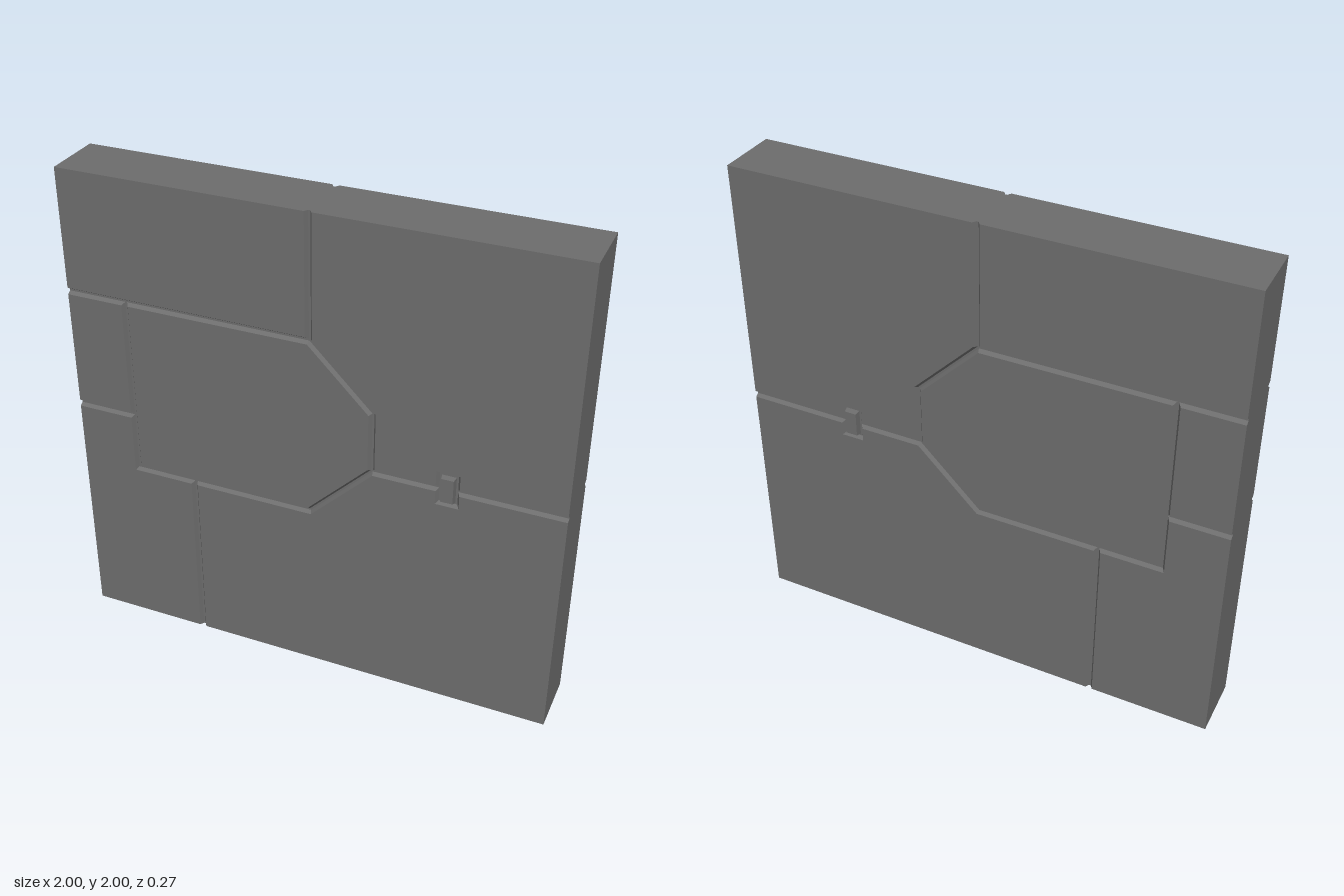
import * as THREE from 'three';

const HALF = 0.125;   // half thickness of the wall
const FLOOR = 0.11;   // depth at which the grooves end

// Moves each edge of a counter-clockwise polygon inwards; edges on the wall's rim stay put.
function inset(points, amount) {
  const n = points.length;
  const lines = points.map(([ax, ay], i) => {
    const [bx, by] = points[(i + 1) % n];
    const len = Math.hypot(bx - ax, by - ay);
    const nx = -(by - ay) / len, ny = (bx - ax) / len;
    const onRim = (ax === bx && Math.abs(ax) === 1) || (ay === by && (ay === 0 || ay === 2));
    return [nx, ny, nx * ax + ny * ay + (onRim ? 0 : amount)];
  });
  return lines.map(([c, d, q], i) => {
    const [a, b, p] = lines[(i + n - 1) % n];
    const det = a * d - b * c;
    return new THREE.Vector2((p * d - b * q) / det, (a * q - p * c) / det);
  });
}

// Raised slab with sloping edges, on the front (side = 1) or back (side = -1).
function panelGeometry(points, side, height, bevel) {
  const low = inset(points, 0.004), high = inset(points, bevel);
  const n = points.length, pos = [];
  const tri = (a, b, c) => (side > 0 ? [a, b, c] : [a, c, b])
    .forEach(([p, z]) => pos.push(p.x, p.y, z * side));
  THREE.ShapeUtils.triangulateShape(high, []).forEach(([a, b, c]) =>
    tri([high[a], height], [high[b], height], [high[c], height]));
  for (let i = 0; i < n; i++) {
    const j = (i + 1) % n;
    tri([low[i], FLOOR], [low[j], FLOOR], [high[j], height]);
    tri([low[i], FLOOR], [high[j], height], [high[i], height]);
  }
  const geo = new THREE.BufferGeometry();
  geo.setAttribute('position', new THREE.Float32BufferAttribute(pos, 3));
  geo.computeVertexNormals();
  return geo;
}

export function createModel() {
  const group = new THREE.Group();
  const material = new THREE.MeshStandardMaterial({ color: 0x6d6d6d, flatShading: true });
  const add = (name, geometry) => {
    const mesh = new THREE.Mesh(geometry, material);
    mesh.name = name;
    group.add(mesh);
  };

  // Core whose faces form the groove floors
  const core = new THREE.BoxGeometry(2, 2, FLOOR * 2);
  core.translate(0, 1, 0);
  add('core', core);

  // Panel outlines run along the groove centre lines
  const L = -0.754, B = 0.751, S = -0.5;
  const cx0 = 0.518, cx1 = 0.582, cy0 = 0.943, cy1 = 1.06;
  const panels = {
    topLeftPanel: [[-1, 1.5], [0, 1.5], [0, 2], [-1, 2]],
    sidePanel: [[-1, 1], [L, 1], [L, 1.5], [-1, 1.5]],
    centrePanel: [[L, B], [0, B], [0.25, 1], [0.25, 1.25], [0, 1.5], [L, 1.5]],
    topRightPanel: [[0, 1.5], [0.25, 1.25], [0.25, 1], [cx0, 1], [cx0, cy1], [cx1, cy1],
      [cx1, 1], [1, 1], [1, 2], [0, 2]],
    bottomRightPanel: [[S, 0], [1, 0], [1, 1], [cx1, 1], [cx1, cy0], [cx0, cy0], [cx0, 1],
      [0.25, 1], [0, B], [S, B]],
    bottomLeftPanel: [[-1, 0], [S, 0], [S, B], [L, B], [L, 1], [-1, 1]],
  };
  const clasp = [[cx0, cy0], [cx1, cy0], [cx1, cy1], [cx0, cy1]];

  for (const [prefix, side] of [['front', 1], ['back', -1]]) {
    for (const [name, outline] of Object.entries(panels)) {
      add(prefix + ' ' + name, panelGeometry(outline, side, HALF, 0.014));
    }
    // Small block standing slightly proud of the seam
    add(prefix + ' clasp', panelGeometry(clasp, side, 0.133, 0.008));
  }
  return group;
}
